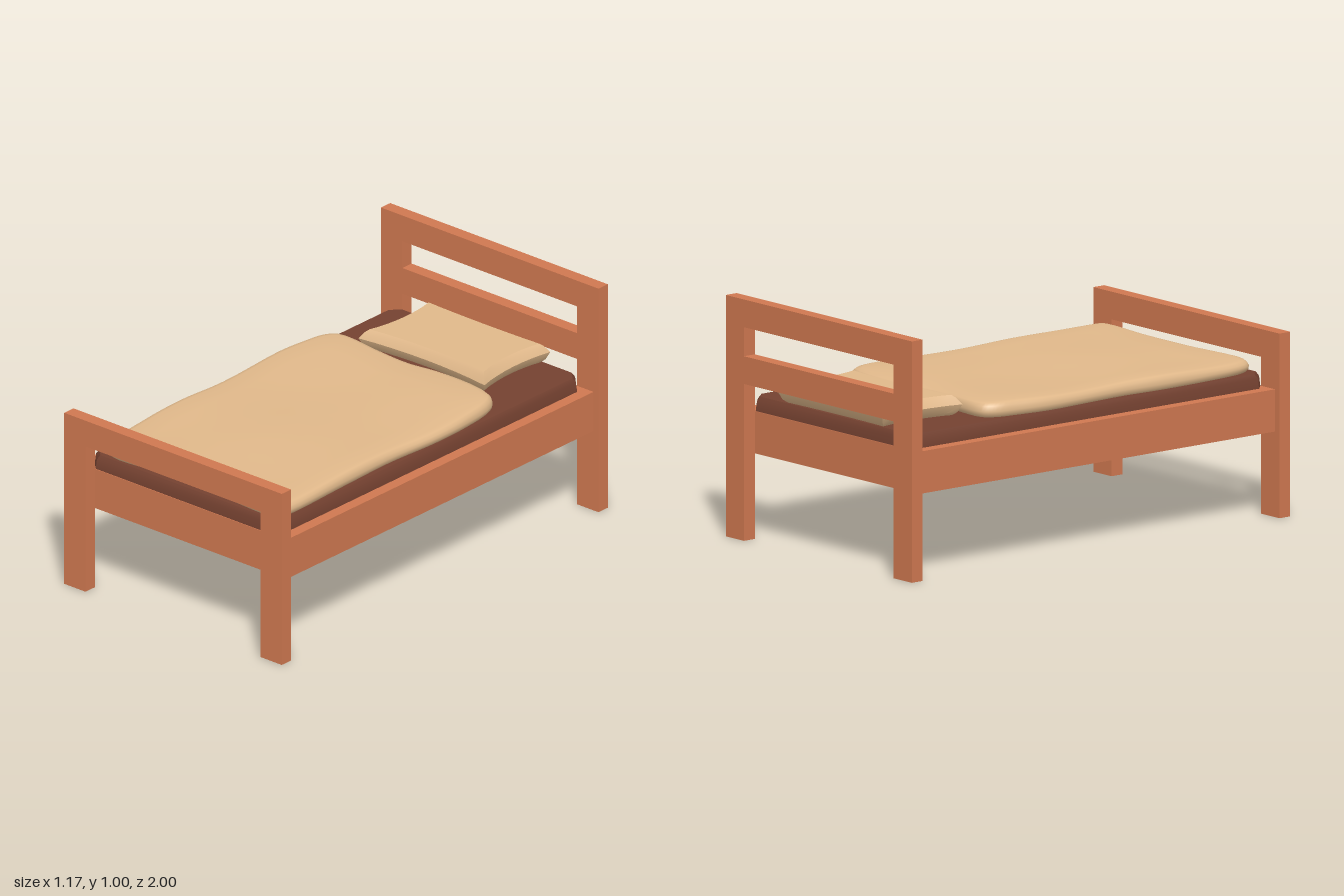
import * as THREE from 'three';
import { toCreasedNormals } from 'three/addons/utils/BufferGeometryUtils.js';

const wood = new THREE.MeshStandardMaterial({ color: 0xcf7850 });
const darkCloth = new THREE.MeshStandardMaterial({ color: 0x744130 });
const linen = new THREE.MeshStandardMaterial({ color: 0xe0b88a });

function addMesh(group, name, geometry, material) {
  const mesh = new THREE.Mesh(geometry, material);
  mesh.name = name;
  group.add(mesh);
  return mesh;
}

// End board: two posts joined by a rail, optionally with a slot above the rail.
function endBoard(height, slot) {
  const w = 0.587, i = 0.472, railBottom = 0.65, depth = 0.057;
  const shape = new THREE.Shape([
    [-w, 0], [-i, 0], [-i, railBottom], [i, railBottom], [i, 0], [w, 0], [w, height], [-w, height],
  ].map(([x, y]) => new THREE.Vector2(x, y)));
  if (slot) {
    shape.holes.push(new THREE.Path([
      [-i, slot[0]], [-i, slot[1]], [i, slot[1]], [i, slot[0]],
    ].map(([x, y]) => new THREE.Vector2(x, y))));
  }
  return new THREE.ExtrudeGeometry(shape, { depth, bevelEnabled: false });
}

// Closed soft body: an outline in x,z stacked at [inset, y] levels and capped.
// lift(x, z) adds relief to the levels above the middle.
function cushion(outline, levels, crease, lift = () => 0) {
  const xs = outline.map((p) => p[0]), zs = outline.map((p) => p[1]);
  const cx = (Math.max(...xs) + Math.min(...xs)) / 2, hx = Math.max(...xs) - cx;
  const cz = (Math.max(...zs) + Math.min(...zs)) / 2, hz = Math.max(...zs) - cz;
  const toRing = ([inset, y], k) => ({ sx: k * (1 - inset / hx), sz: k * (1 - inset / hz), y });
  const first = levels[0], last = levels[levels.length - 1];
  const rings = [toRing(first, 0), ...levels.map((l) => toRing(l, 1)),
    ...[0.8, 0.6, 0.4, 0.2, 0].map((k) => toRing(last, k))];
  const middle = (first[1] + last[1]) / 2;

  const n = outline.length, positions = [], index = [];
  rings.forEach((r, j) => {
    outline.forEach(([px, pz], i) => {
      const x = cx + (px - cx) * r.sx, z = cz + (pz - cz) * r.sz;
      positions.push(x, r.y + (r.y > middle ? lift(x, z) : 0), z);
      if (j === rings.length - 1) return;
      const a = j * n + i, b = j * n + (i + 1) % n;
      if (j > 0) index.push(a, b, b + n);
      if (j < rings.length - 2) index.push(a, b + n, a + n);
      else index.push(a, b, a + n);
      if (j === 0) index.push(a, b + n, a + n);
    });
  });
  const geometry = new THREE.BufferGeometry();
  geometry.setAttribute('position', new THREE.Float32BufferAttribute(positions, 3));
  geometry.setIndex(index);
  return toCreasedNormals(geometry, crease);
}

// Smooth closed outline through a few points.
function smoothOutline(points, count) {
  const curve = new THREE.CatmullRomCurve3(
    points.map(([x, z]) => new THREE.Vector3(x, 0, z)), true, 'centripetal');
  return curve.getPoints(count).slice(0, count).map((p) => [p.x, p.z]);
}

export function createModel() {
  const bed = new THREE.Group();
  bed.name = 'bed';

  // Wooden frame
  addMesh(bed, 'headboard', endBoard(1, [0.765, 0.885]), wood).position.z = -1;
  addMesh(bed, 'footboard', endBoard(0.765), wood).position.z = 0.943;
  const base = addMesh(bed, 'bedBase', new THREE.BoxGeometry(1.12, 0.175, 1.886), wood);
  base.position.y = 0.4425;

  // Mattress with clipped corners and a softened top edge
  const mx = 0.51, mz = 0.94, c = 0.04;
  const mattress = [
    [mx, mz - c], [mx, c - mz], [mx - c, -mz], [c - mx, -mz],
    [-mx, c - mz], [-mx, mz - c], [c - mx, mz], [mx - c, mz],
  ];
  addMesh(bed, 'mattress',
    cushion(mattress, [[0, 0.53], [0.004, 0.572], [0.014, 0.59]], 0.6), darkCloth);

  // Blanket with an uneven hem and gentle waves
  const hem = [
    [-0.43, -0.505], [-0.2, -0.492], [-0.03, -0.485], [0.15, -0.505], [0.42, -0.475],
    [0.465, -0.42], [0.492, -0.25], [0.497, -0.05], [0.482, 0.2], [0.49, 0.5],
    [0.502, 0.85], [0.49, 0.91], [0.45, 0.922], [0.2, 0.91], [-0.1, 0.897],
    [-0.42, 0.917], [-0.462, 0.87], [-0.49, 0.65], [-0.496, 0.4], [-0.487, 0.2],
    [-0.507, -0.2], [-0.49, -0.36], [-0.47, -0.46],
  ].reverse();
  const waves = (x, z) => 0.004 * Math.cos((z + 0.4) * 7.8) + 0.002 * Math.sin(x * 9 + z * 3);
  addMesh(bed, 'blanket', cushion(smoothOutline(hem, 96),
    [[0.012, 0.588], [0.002, 0.6], [0, 0.615], [0.005, 0.632], [0.016, 0.643], [0.035, 0.647]],
    1.2, waves), linen);

  // Pillow with pinched corners and a seam around the middle
  const corners = [[0.335, -0.53], [0.325, -0.945], [-0.335, -0.945], [-0.345, -0.53]];
  const pillow = [];
  corners.forEach(([x, z], i) => {
    const [nx, nz] = corners[(i + 1) % 4];
    for (let s = 0; s < 8; s++) {
      const t = s / 8, pinch = 0.025 * Math.sin(Math.PI * t) ** 0.8;
      const px = x + (nx - x) * t, pz = z + (nz - z) * t;
      pillow.push(i % 2 ? [px, pz + pinch * (i === 1 ? 0.3 : -1)]
        : [px + (i === 0 ? -pinch : pinch), pz]);
    }
  });
  addMesh(bed, 'pillow',
    cushion(pillow, [[0.03, 0.59], [0.014, 0.603], [0, 0.635], [0.018, 0.662], [0.032, 0.674]], 0.5),
    linen);

  return bed;
}
